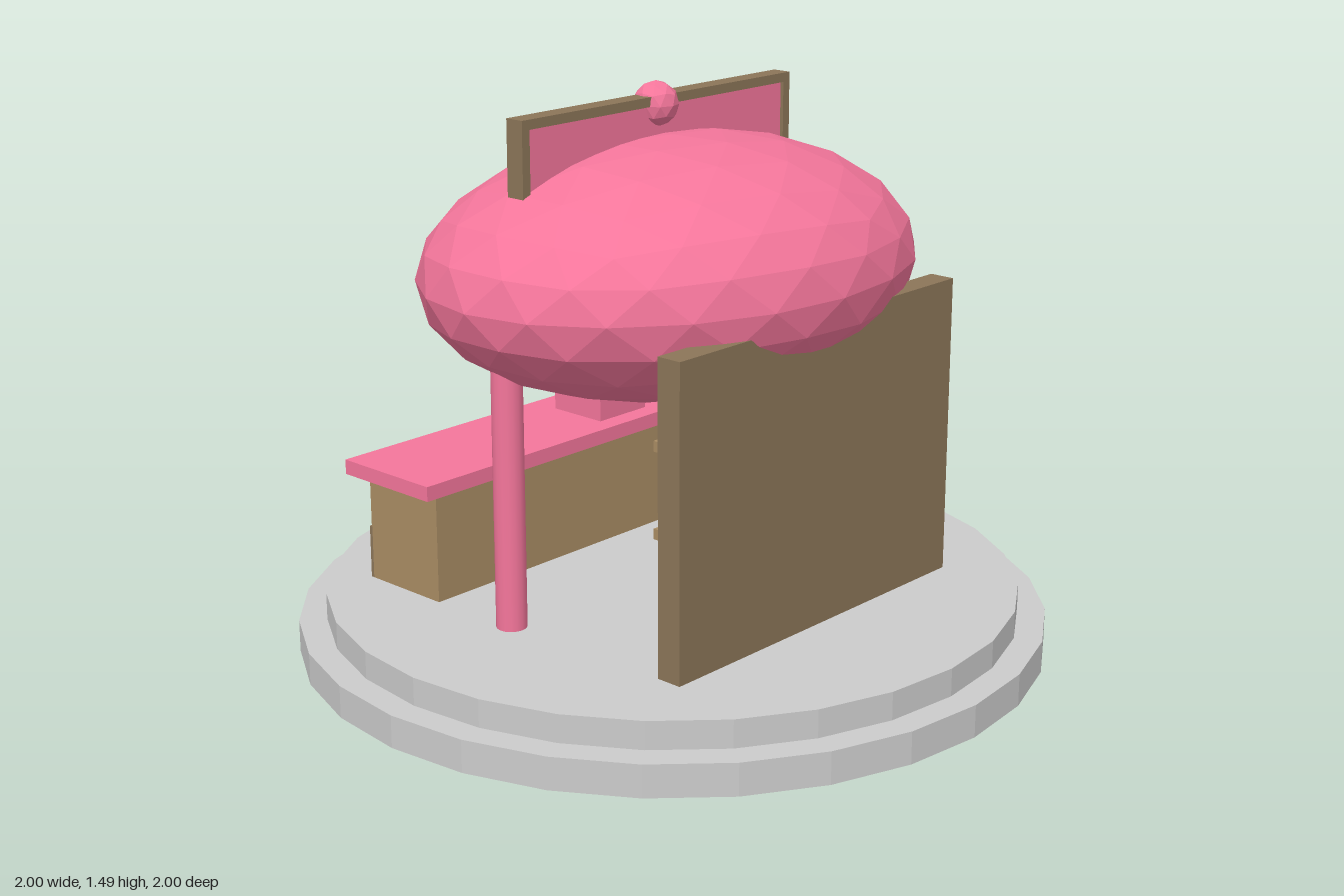
import * as THREE from 'three';

const mat = (color) => new THREE.MeshStandardMaterial({ color, flatShading: true });

export function createModel() {
  const root = new THREE.Group();
  const grey = mat(0xcccccc), pink = mat(0xf4769b), wood = mat(0x8b7558), lightWood = mat(0xa98c64);

  function add(name, geometry, material, x = 0, y = 0, z = 0) {
    const mesh = new THREE.Mesh(geometry, material);
    mesh.name = name;
    mesh.position.set(x, y, z);
    root.add(mesh);
    return mesh;
  }

  // Box given by its lower and upper limits on each axis
  function box(name, material, [x0, x1], [y0, y1], [z0, z1]) {
    return add(name, new THREE.BoxGeometry(x1 - x0, y1 - y0, z1 - z0), material,
      (x0 + x1) / 2, (y0 + y1) / 2, (z0 + z1) / 2);
  }

  // Faceted ball with a vertex at the top, stretched to the given radii
  function ball(detail, rx, ry, rz) {
    const g = new THREE.IcosahedronGeometry(1, detail);
    g.rotateZ(-Math.atan(2 / (1 + Math.sqrt(5))));
    g.scale(rx, ry, rz);
    g.computeVertexNormals();
    return g;
  }

  // Stepped round base
  add('baseLower', new THREE.CylinderGeometry(1, 1, 0.086, 28), grey, 0, 0.043, 0);
  add('baseUpper', new THREE.CylinderGeometry(0.926, 0.926, 0.076, 28), grey, 0, 0.122, 0);

  // Front wall with two shelves on its inner face
  box('frontWall', wood, [-0.53, 0.53], [0.16, 0.97], [0.44, 0.51]);
  for (const y of [0.49, 0.712]) box('shelf', lightWood, [-0.48, 0.48], [y, y + 0.027], [0.38, 0.44]);

  // Canopy on two posts
  for (const s of [-1, 1]) {
    const post = add('post', new THREE.CylinderGeometry(0.04, 0.04, 0.82, 16), pink.clone(), s * 0.545, 0.57, -0.055);
    post.material.flatShading = false;
  }
  add('canopy', ball(3, 0.73, 0.33, 0.57), pink, 0, 1.03, 0);

  // Framed sign board rising out of the canopy
  const signZ = [-0.085, -0.031];
  box('signPanel', pink, [-0.475, 0.475], [1.18, 1.435], [-0.075, -0.041]);
  box('signTopRail', wood, [-0.5, 0.5], [1.433, 1.458], signZ);
  for (const s of [-1, 1]) {
    box('signSideRail', wood, [s * 0.4875 - 0.0125, s * 0.4875 + 0.0125], [1.18, 1.433], signZ);
  }
  add('signBall', ball(1, 0.06, 0.06, 0.06), pink, 0, 1.433, -0.058);

  // Counter with a raised lower panel on the customer side
  box('counterBody', lightWood, [-0.565, 0.565], [0.16, 0.46], [-0.572, -0.31]);
  box('counterKickPanel', wood, [-0.565, 0.565], [0.16, 0.305], [-0.58, -0.57]);
  box('counterTop', pink, [-0.62, 0.62], [0.46, 0.5], [-0.603, -0.28]);

  // Collection box with a slot strip
  box('collectionBox', pink, [0.07, 0.25], [0.5, 0.656], [-0.515, -0.337]);
  box('slotStrip', wood, [0.105, 0.215], [0.656, 0.676], [-0.435, -0.413]);

  return root;
}
